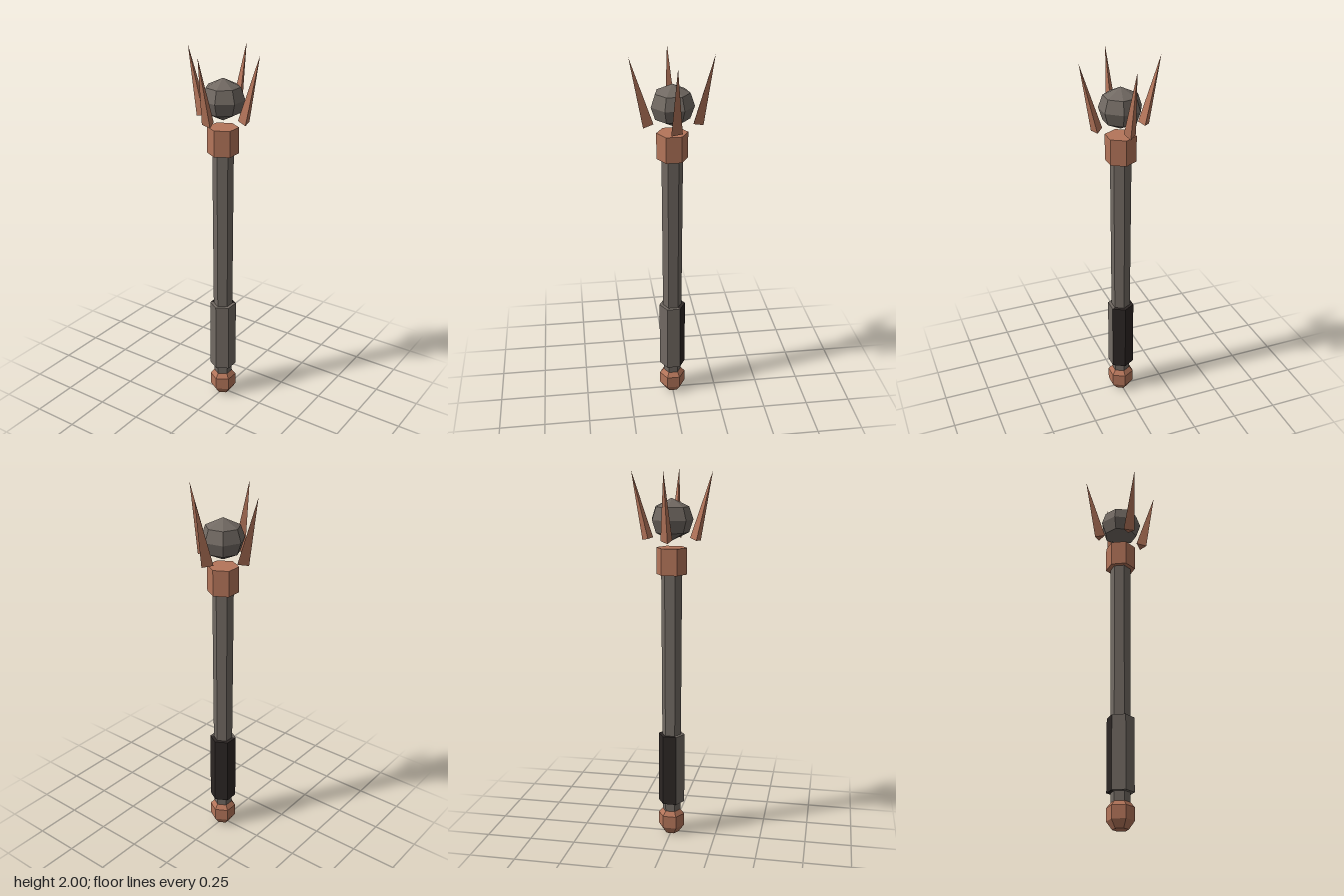
import * as THREE from 'three';
import { ConvexGeometry } from 'three/addons/geometries/ConvexGeometry.js';

const paint = (name, color) => {
  const m = new THREE.MeshStandardMaterial({ color });
  m.name = name;
  return m;
};

// Faceted turned part; profile is [radius, height] from bottom to top
function turned(name, profile, material, sides = 6, start = 0, sweep = Math.PI * 2) {
  const pts = profile.map(([r, y]) => new THREE.Vector2(r, y));
  const geo = new THREE.LatheGeometry(pts, sides, start, sweep).toNonIndexed();
  geo.computeVertexNormals();
  const mesh = new THREE.Mesh(geo, material);
  mesh.name = name;
  return mesh;
}

// Three-sided spike leaning outward; along = 'x' or 'z', side = 1 or -1
function spike(along, side, material) {
  const place = (across, out, y) => along === 'z'
    ? new THREE.Vector3(across, y, out)
    : new THREE.Vector3(out, y, across);
  const base = [[-0.035, 0.009], [0.024, 0.023], [0.009, -0.031]];
  const pts = base.map(([a, o]) => place(a, side * 0.127 + o, 1.648 - 0.25 * side * o));
  pts.push(place(0, side * 0.214, 2));
  const mesh = new THREE.Mesh(new ConvexGeometry(pts), material);
  mesh.name = 'spike';
  return mesh;
}

export function createModel() {
  const model = new THREE.Group();
  model.name = 'staff';
  const stone = paint('grey brown', 0x726a63);
  const copper = paint('copper', 0xb4755a);
  const dark = paint('dark leather', 0x2c2624);

  // Pommel, shaft and collar
  model.add(turned('pommel',
    [[0, 0], [0.042, 0], [0.072, 0.042], [0.072, 0.11], [0.05, 0.135], [0, 0.135]], copper));
  model.add(turned('shaft', [[0, 0.12], [0.05, 0.12], [0.056, 1.48], [0, 1.48]], stone));
  model.add(turned('collar', [[0, 1.465], [0.082, 1.465], [0.082, 1.605], [0, 1.605]], copper));

  // Grip, light on three faces and dark on the other three
  const grip = [[0.04, 0.185], [0.072, 0.185], [0.072, 0.58], [0.04, 0.58]];
  model.add(turned('gripFront', grip, stone, 3, -Math.PI / 3, Math.PI));
  model.add(turned('gripBack', grip, dark, 3, Math.PI * 2 / 3, Math.PI));

  // Floating seven-sided orb
  model.add(turned('orb',
    [[0, 1.64], [0.091, 1.684], [0.1135, 1.75], [0.091, 1.816], [0, 1.86]],
    stone, 7, -Math.PI / 2));

  // Crown of spikes around the orb
  const crown = new THREE.Group();
  crown.name = 'crown';
  for (const along of ['x', 'z'])
    for (const side of [1, -1]) crown.add(spike(along, side, copper));
  model.add(crown);
  return model;
}
